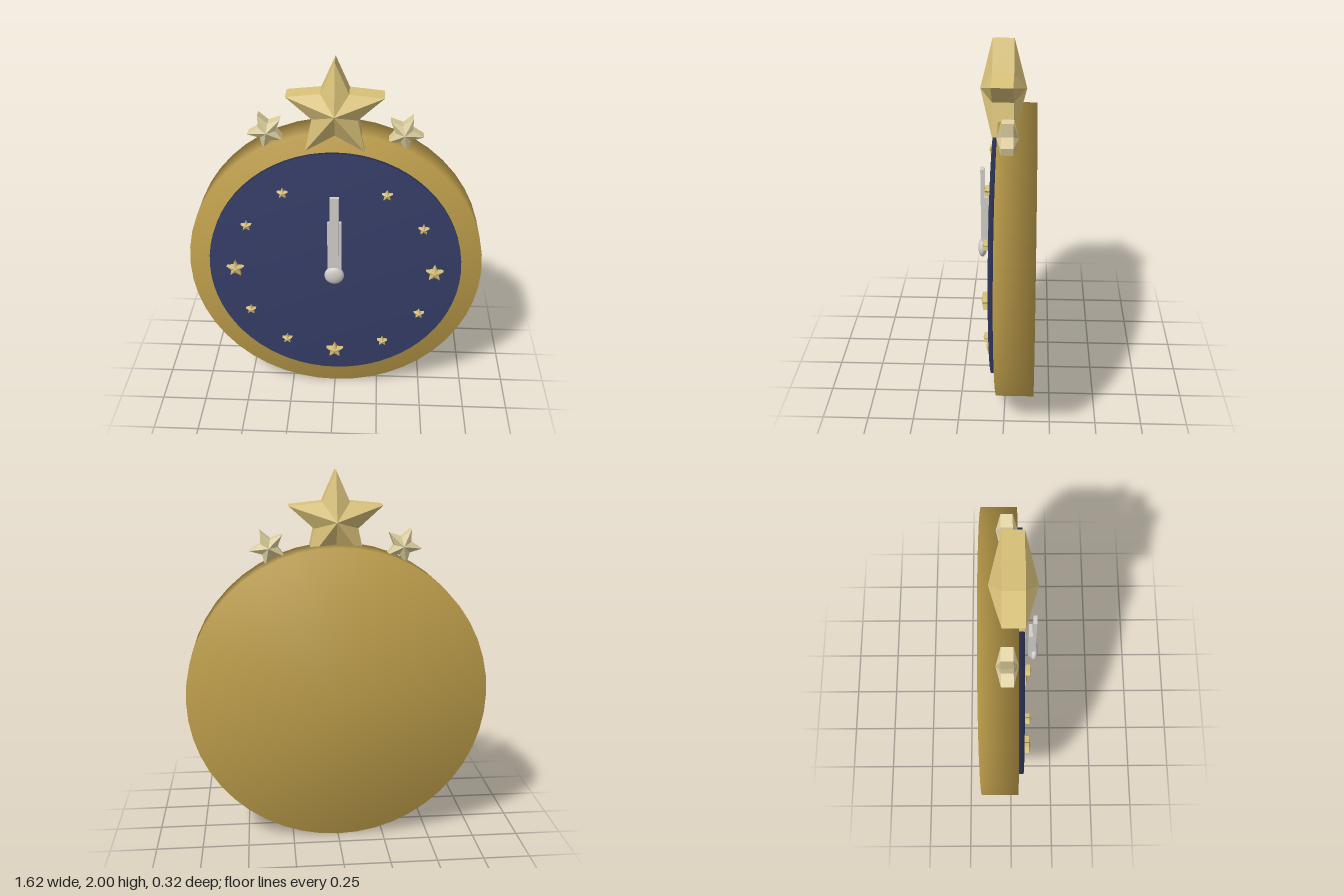
import * as THREE from 'three';
import { mergeVertices } from 'three/addons/utils/BufferGeometryUtils.js';

const mat = (name, color, extra = {}) => {
  const m = new THREE.MeshStandardMaterial({ color, ...extra });
  m.name = name;
  return m;
};

// Disc facing +z whose normals blend softly over the edge
function softDisc(radius, depth, segments) {
  const g = new THREE.CylinderGeometry(radius, radius, depth, segments);
  g.deleteAttribute('uv');
  g.deleteAttribute('normal');
  const soft = mergeVertices(g, 1e-4);
  soft.computeVertexNormals();
  soft.rotateX(Math.PI / 2);
  return soft;
}

// Five-pointed star: a rim wall with a low pyramid on the front and back
function starGeometry(outer, inner, rim, peak) {
  const ring = [];
  for (let i = 0; i < 10; i++) {
    const a = Math.PI / 2 + (i * Math.PI) / 5;
    const r = i % 2 ? inner : outer;
    ring.push([r * Math.cos(a), r * Math.sin(a)]);
  }
  const pos = [];
  for (let i = 0; i < 10; i++) {
    const p = ring[i], q = ring[(i + 1) % 10];
    const pf = [...p, rim], qf = [...q, rim], pb = [...p, -rim], qb = [...q, -rim];
    pos.push(...pf, ...qf, 0, 0, peak);
    pos.push(...qb, ...pb, 0, 0, -peak);
    pos.push(...pf, ...pb, ...qb, ...pf, ...qb, ...qf);
  }
  const g = new THREE.BufferGeometry();
  g.setAttribute('position', new THREE.Float32BufferAttribute(pos, 3));
  g.computeVertexNormals();
  return g;
}

export function createModel() {
  const clock = new THREE.Group();
  clock.name = 'starClock';
  const gold = mat('gold', 0xc0a04c);
  const navy = mat('navy', 0x363e68);
  const brightGold = mat('brightGold', 0xdac27a);
  const paleGold = mat('paleGold', 0xdacc9c);
  const silver = mat('silver', 0xd0cdca);
  const cy = 0.81;

  const add = (name, geometry, material, x, y, z) => {
    const m = new THREE.Mesh(geometry, material);
    m.name = name;
    m.position.set(x, y, z);
    clock.add(m);
    return m;
  };

  // Case and dial
  add('case', softDisc(0.81, 0.2, 48), gold, 0, cy, -0.06);
  add('dial', softDisc(0.695, 0.04, 64), navy, 0, cy + 0.005, 0.05);

  // Crest: one large star between two small tilted ones
  add('crestStar', starGeometry(0.26, 0.122, 0.055, 0.12), brightGold, 0, 1.74, 0.015);
  const smallStar = starGeometry(0.1, 0.047, 0.03, 0.055);
  for (const s of [-1, 1]) {
    add('sideStar', smallStar, paleGold, s * 0.355, 1.605, -0.016).rotation.z = -s * 0.45;
  }

  // Hour markers, larger at the quarters, none at twelve
  const bigMark = starGeometry(0.05, 0.023, 0.011, 0.02);
  const smallMark = starGeometry(0.03, 0.014, 0.01, 0.018);
  for (let h = 1; h < 12; h++) {
    const a = (h * Math.PI) / 6;
    add('hourMarker', h % 3 ? smallMark : bigMark, brightGold,
      0.55 * Math.sin(a), cy + 0.005 + 0.55 * Math.cos(a), 0.088);
  }

  // Hands and hub
  add('hourHand', new THREE.BoxGeometry(0.076, 0.32, 0.02), silver, 0, 0.975, 0.11);
  add('minuteHand', new THREE.BoxGeometry(0.048, 0.48, 0.02), silver, 0, 1.053, 0.13);
  const hub = new THREE.SphereGeometry(0.054, 20, 14);
  hub.scale(1, 1, 0.46);
  add('hub', hub, silver, 0, cy + 0.005, 0.134);

  return clock;
}
